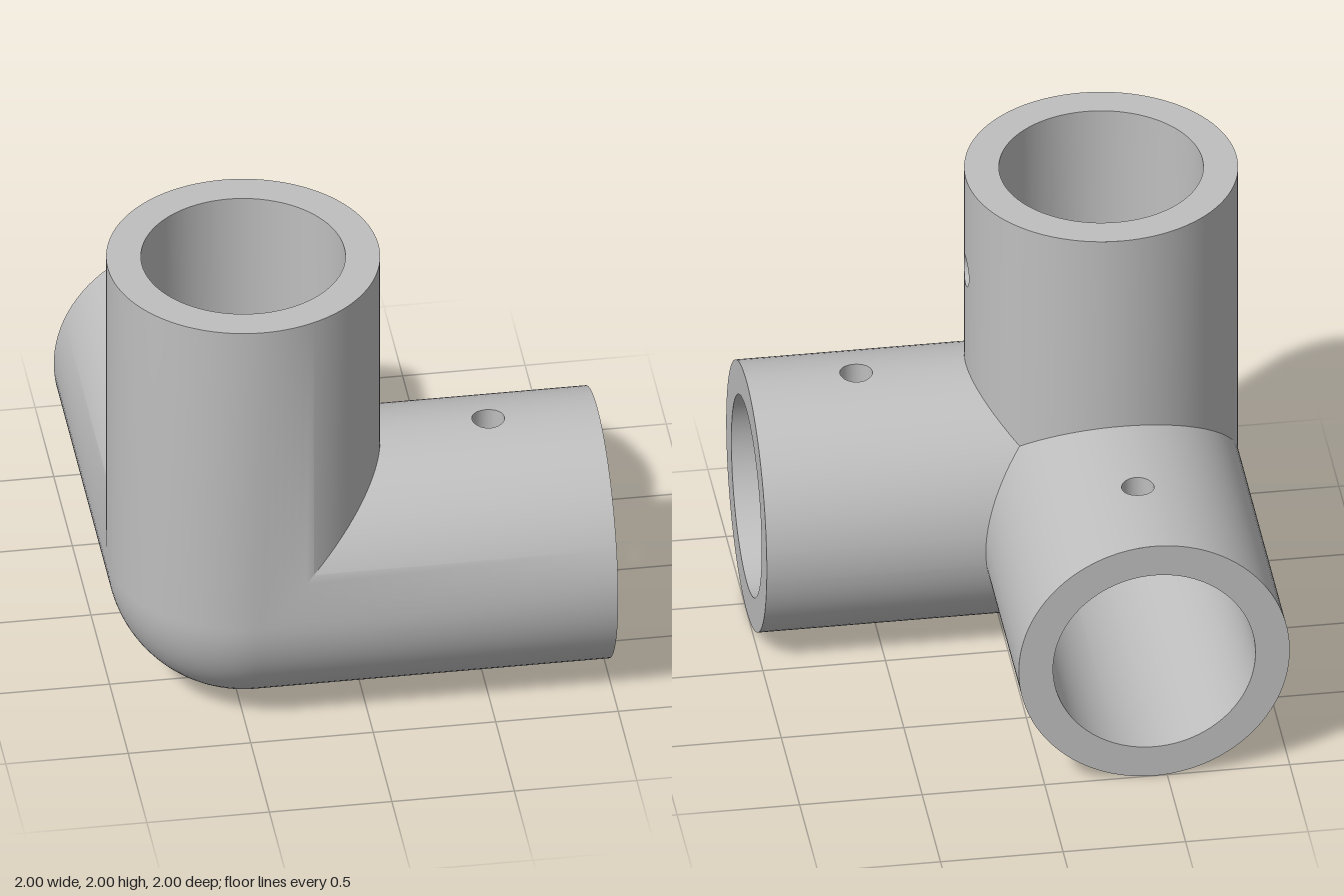
import * as THREE from 'three';
import { toCreasedNormals } from 'three/addons/utils/BufferGeometryUtils.js';

const R = 0.55303, BORE = 0.41303;   // pipe outer and inner radius
const LEN = 1.44697;                 // arm length from the corner centre
const HOLE = 0.066, HOLE_AT = 1;     // pin hole radius and distance along the arm
const QUARTER = 24;                  // facets per quarter turn

const X = new THREE.Vector3(1, 0, 0);
const Y = new THREE.Vector3(0, 1, 0);
const BACK = new THREE.Vector3(0, 0, -1);

// u runs along the arm, v points to its pin hole, w is the third arm
const ARMS = [
  { name: 'upright', u: Y, v: X, w: BACK },
  { name: 'sideways', u: X, v: Y, w: BACK },
  { name: 'backward', u: BACK, v: Y, w: X },
];

const at = (arm, u, v, w) => new THREE.Vector3()
  .addScaledVector(arm.u, u).addScaledVector(arm.v, v).addScaledVector(arm.w, w);

const handed = (arm) => Math.sign(arm.v.clone().cross(arm.w).dot(arm.u));

function pushQuad(out, a, b, c, d, flip) {
  const order = flip ? [a, c, b, a, d, c] : [a, b, c, a, c, d];
  for (const p of order) out.push(p.x, p.y, p.z);
}

// Smooth normals that keep the mitred creases between the arms sharp
function finish(positions) {
  const g = new THREE.BufferGeometry();
  g.setAttribute('position', new THREE.Float32BufferAttribute(positions, 3));
  g.scale(100, 100, 100);
  const creased = toCreasedNormals(g, Math.PI / 6);
  creased.scale(0.01, 0.01, 0.01);
  return creased;
}

// Angles around a pipe, with finer columns across the pin hole
function columns(r) {
  const edge = Math.asin(HOLE / r);
  const list = [];
  for (let k = -2 * QUARTER; k <= 2 * QUARTER; k++) {
    const t = (k / QUARTER) * Math.PI / 2;
    if (Math.abs(t) > edge && Math.abs(t - Math.PI / 2) > edge) list.push({ t });
  }
  for (let k = -8; k <= 8; k++) {
    const a = (k / 16) * Math.PI;
    const t = Math.asin(HOLE * Math.sin(a) / r);
    list.push({ t, gap: HOLE * Math.cos(a) }, { t: t + Math.PI / 2 });
  }
  return list.sort((p, q) => p.t - q.t);
}

// Three mitred cylinders and the round corner, at one radius
function skin(r, inward) {
  const out = [];
  const cols = columns(r);
  for (const arm of ARMS) {
    const flip = (handed(arm) < 0) !== inward;
    const point = (c, u) => at(arm, u, r * Math.cos(c.t), r * Math.sin(c.t));
    const start = (c) => Math.max(0, r * Math.cos(c.t), r * Math.sin(c.t));
    for (let i = 0; i + 1 < cols.length; i++) {
      const p = cols[i], q = cols[i + 1];
      const strip = (lo, hi) =>
        pushQuad(out, point(p, lo(p)), point(q, lo(q)), point(q, hi(q)), point(p, hi(p)), flip);
      if (p.gap !== undefined && q.gap !== undefined) {
        strip(start, (c) => HOLE_AT - c.gap);
        strip((c) => HOLE_AT + c.gap, () => LEN);
      } else {
        strip(start, () => LEN);
      }
    }
  }
  // round outer corner: one eighth of a ball
  const ball = new THREE.SphereGeometry(r, QUARTER, QUARTER, 0, Math.PI / 2, Math.PI / 2, Math.PI / 2)
    .toNonIndexed().getAttribute('position');
  for (let i = 0; i < ball.count; i += 3) {
    for (const j of inward ? [i, i + 2, i + 1] : [i, i + 1, i + 2]) {
      out.push(ball.getX(j), ball.getY(j), ball.getZ(j));
    }
  }
  return finish(out);
}

// Wall of the pin hole, running from the outer skin to the bore
function holeWall(arm) {
  const out = [];
  const point = (k, r) => {
    const a = (k / 16) * Math.PI, d = HOLE * Math.sin(a);
    return at(arm, HOLE_AT + HOLE * Math.cos(a), Math.sqrt(r * r - d * d), d);
  };
  for (let k = 0; k < 32; k++) {
    pushQuad(out, point(k, R), point(k + 1, R), point(k + 1, BORE), point(k, BORE), false);
  }
  return finish(out);
}

export function createModel() {
  const grey = new THREE.MeshStandardMaterial({ color: 0xbfbfbf });
  grey.name = 'grey';
  const greyWall = grey.clone();
  greyWall.side = THREE.DoubleSide;

  const model = new THREE.Group();
  model.name = 'cornerPipeFitting';
  const add = (name, geometry, material = grey) => {
    const mesh = new THREE.Mesh(geometry, material);
    mesh.name = name;
    mesh.position.set(R - 1, R, 1 - R);
    model.add(mesh);
    return mesh;
  };

  add('outerShell', skin(R, false));
  add('bore', skin(BORE, true));

  for (const arm of ARMS) {
    add(arm.name + 'PinHole', holeWall(arm), greyWall);
    // flat rim at the open end
    const rim = add(arm.name + 'Rim', new THREE.RingGeometry(BORE, R, 4 * QUARTER));
    rim.quaternion.setFromUnitVectors(new THREE.Vector3(0, 0, 1), arm.u);
    rim.position.addScaledVector(arm.u, LEN);
  }
  return model;
}
